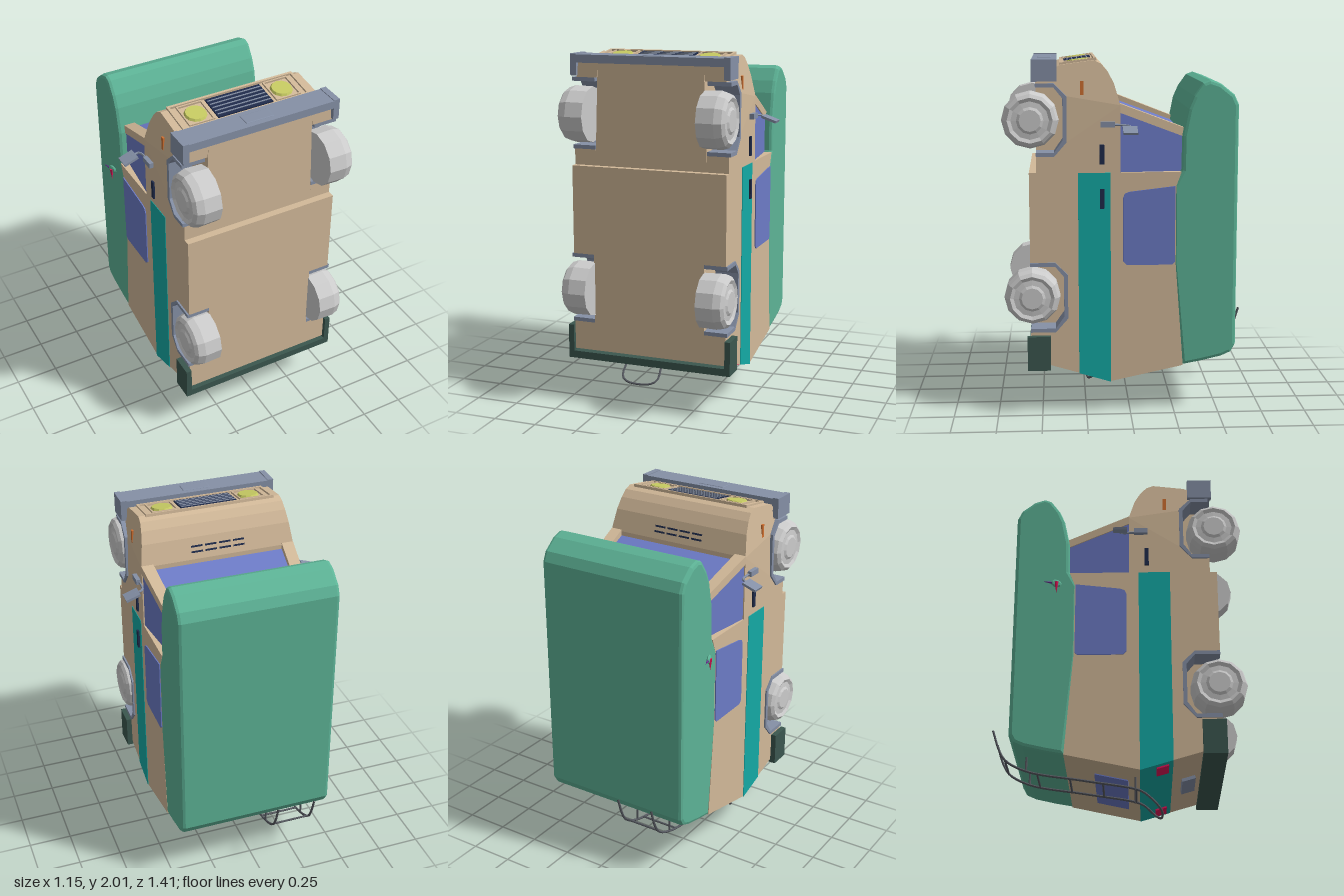
import * as THREE from 'three';
import { RoundedBoxGeometry } from 'three/addons/geometries/RoundedBoxGeometry.js';

const mat = (color) => new THREE.MeshStandardMaterial({ color, flatShading: true });
const M = {
  beige: mat(0xd2b999), green: mat(0x5db396), teal: mat(0x14aaa5), glass: mat(0x6c7bc6),
  steel: mat(0x8590a6), dark: mat(0x3b574f), navy: mat(0x1f2b4b), lamp: mat(0xc6ca62),
  tyre: mat(0xcccccc), red: mat(0xe01458), orange: mat(0xd07030), rail: mat(0x55585f), purple: mat(0x6a2a90),
};

// Side profile given as [z, y] points, extruded from x0 to x1
function slab(pts, x0, x1, bevel = 0) {
  const shape = new THREE.Shape(pts.map(([z, y]) => new THREE.Vector2(z, y)));
  const g = new THREE.ExtrudeGeometry(shape, {
    depth: x1 - x0 - 2 * bevel, bevelEnabled: bevel > 0, bevelSize: bevel,
    bevelThickness: bevel, bevelOffset: -bevel, bevelSegments: 2,
  });
  return g.rotateY(-Math.PI / 2).translate(x1 - bevel, 0, 0);
}

// Flat strip of thickness t along a profile segment
function strip([z0, y0], [z1, y1], t, x0, x1) {
  const l = Math.hypot(z1 - z0, y1 - y0);
  const nz = (-(y1 - y0) / l) * t / 2, ny = ((z1 - z0) / l) * t / 2;
  return slab([[z0 + nz, y0 + ny], [z1 + nz, y1 + ny], [z1 - nz, y1 - ny], [z0 - nz, y0 - ny]], x0, x1);
}

// Move x of every vertex by a rule
function warp(g, rule) {
  const p = g.attributes.position;
  for (let i = 0; i < p.count; i++) p.setX(i, p.getX(i) * rule(p.getY(i), p.getZ(i)));
  g.computeVertexNormals();
  return g;
}

const box = (w, h, d, x, y, z) => new THREE.BoxGeometry(w, h, d).translate(x, y, z);

// Angular wheel arch from the floor edge z, inset by t
const arch = (z, cy, t = 0) => [
  [z, cy + 0.2 - t], [0.42, cy + 0.2 - t], [0.35 + t, cy + 0.13 - t * 0.5],
  [0.35 + t, cy - 0.12 + t * 0.5], [0.42, cy - 0.2 + t], [z, cy - 0.2 + t],
];

export function createModel() {
  const root = new THREE.Group();
  const add = (name, geo, m, parent = root) => {
    const mesh = new THREE.Mesh(geo, m);
    mesh.name = name;
    parent.add(mesh);
    return mesh;
  };
  // Same slab on both sides of the vehicle
  const both = (name, pts, x0, x1, m, rule = () => 1) => {
    add(name + 'Left', warp(slab(pts, x0, x1), rule), m);
    add(name + 'Right', warp(slab(pts, -x1, -x0), rule), m);
  };
  const W = 0.455, IN = 0.33, AXLES = [1.67, 0.675];

  // Living compartment: solid core and side walls cut by the arches
  const rearEnd = [[0.56, 0.31], [0.45, 0.28], [0.11, 0.18], [-0.3, 0.268], [-0.255, 0.86], [-0.255, 1.3], [-0.285, 1.38]];
  add('compartmentCore', slab([[0.56, 1.38], ...rearEnd], -IN, IN), M.beige);
  both('compartmentWall', [[0.56, 1.38], ...arch(0.56, AXLES[1]), ...rearEnd], IN, W, M.beige);
  add('stripe', slab([[0.29, 1.379], [0.29, 0.231], [0.11, 0.177], [0.11, 1.379]], -W - 0.003, W + 0.003), M.teal);

  // Raised roof with the pod over the cab
  add('roof', slab([
    [-0.24, 1.3], [-0.24, 0.86], [-0.295, 0.268], [-0.4, 0.287], [-0.52, 0.315], [-0.575, 0.34], [-0.6, 0.385],
    [-0.6, 1.75], [-0.575, 1.805], [-0.5, 1.865], [-0.44, 1.885], [-0.4, 1.87], [-0.35, 1.8], [-0.32, 1.73],
    [-0.29, 1.58], [-0.287, 1.39],
  ], -W - 0.002, W + 0.002, 0.02), M.green);

  // Cab and bonnet, narrowing towards the nose
  const taper = (y) => 1 - 0.32 * Math.max(0, y - 1.75);
  const nose = [
    [0.055, 1.38], [0.055, 1.75], [0.09, 1.87], [0.125, 1.935], [0.16, 1.975], [0.2, 1.993], [0.38, 1.968],
    [0.42, 1.95], [0.52, 1.95],
  ];
  add('cabCore', warp(slab([...nose, [0.52, 1.38]], -IN, IN), taper), M.beige);
  both('cabSide', [...nose, ...arch(0.52, AXLES[0]), [0.52, 1.38]], IN - 0.002, W, M.beige, taper);

  // Glazed cab, windscreen pillars and header
  const lean = (y, z) => 1 - 0.25 * Math.max(0, 0.055 - z);
  add('cabGlass', warp(slab([[0.057, 1.38], [0.057, 1.725], [-0.3, 1.595], [-0.3, 1.38]], -0.448, 0.448), lean), M.glass);
  both('pillar', [[0.06, 1.76], [0.06, 1.71], [-0.3, 1.572], [-0.3, 1.622]], 0.385, W, M.beige, lean);
  for (const y of [1.79, 1.82]) for (let i = 0; i < 4; i++) {
    const x = -0.16 + i * 0.083, z = 0.055 + (y - 1.75) * 0.29;
    add('bonnetVent', strip([z, y - 0.005], [z + 0.003, y + 0.005], 0.006, x, x + 0.068), M.navy);
  }

  // Nose panel with grille and headlamps
  const face = new THREE.Group();
  face.name = 'nosePanel';
  face.position.set(0, 1.984, 0.285);
  face.rotation.x = -Math.PI / 2 + 0.14;
  root.add(face);
  const frame = (name, w, h, t, x) => {
    for (const s of [-1, 1]) {
      add(name, box(w, t, 0.016, x, s * (h - t) / 2, 0), M.beige, face);
      add(name, box(t, h, 0.016, x + s * (w - t) / 2, 0, 0), M.beige, face);
    }
  };
  frame('panelFrame', 0.76, 0.205, 0.014, 0);
  add('grille', box(0.33, 0.155, 0.01, 0, 0, 0), M.navy, face);
  for (let i = 0; i < 5; i++) add('grilleSlat', box(0.32, 0.006, 0.014, 0, -0.056 + i * 0.028, 0.002), M.steel, face);
  for (const s of [-1, 1]) {
    frame('lampFrame', 0.15, 0.16, 0.008, s * 0.26);
    add('headlamp', new THREE.CylinderGeometry(0.056, 0.065, 0.016, 12).rotateX(Math.PI / 2).translate(s * 0.26, 0, 0.002), M.lamp, face);
  }

  // Front bumper with wrapped ends and plate
  add('frontBumper', box(0.93, 0.045, 0.14, 0, 1.973, 0.472), M.steel);
  add('frontPlate', new RoundedBoxGeometry(0.165, 0.012, 0.078, 2, 0.005).translate(0, 1.993, 0.472), M.steel);
  // Rear bumper
  add('rearBumper', box(0.975, 0.042, 0.13, 0, 0.279, 0.515), M.dark);
  add('rearHandle', strip([0.42, 0.262], [0.345, 0.24], 0.02, -0.11, 0.11), M.steel);
  add('rearWindow', strip([0.045, 0.193], [-0.14, 0.233], 0.01, -0.25, 0.25), M.glass);

  for (const s of [-1, 1]) {
    const pair = (name, geo, m) => add(name, geo, m);
    pair('frontBumperEnd', box(0.035, 0.12, 0.14, s * 0.4475, 1.94, 0.472), M.steel);
    pair('rearBumperEnd', box(0.032, 0.197, 0.13, s * 0.472, 0.3565, 0.515), M.dark);
    const tx = s * 0.36;
    pair('tailLamp', strip([0.265, 0.222], [0.2, 0.203], 0.016, tx - 0.06, tx + 0.06), M.red);
    pair('sideMarker', box(0.012, 0.075, 0.02, s * 0.441, 1.845, 0.265), M.orange);
    pair('cabHandle', box(0.016, 0.11, 0.025, s * 0.457, 1.48, 0.157), M.navy);

    // Side mirror: base, bent arm, angled plate
    pair('mirrorBase', box(0.04, 0.03, 0.08, s * 0.46, 1.647, 0.125), M.steel);
    const arm = new THREE.CatmullRomCurve3([[0.46, 1.645, 0.1], [0.463, 1.64, 0.02], [0.475, 1.637, 0.005], [0.51, 1.627, 0.005]]
      .map(([x, y, z]) => new THREE.Vector3(s * x, y, z)));
    pair('mirrorArm', new THREE.TubeGeometry(arm, 10, 0.007, 6), M.steel);
    const plate = pair('mirror', new THREE.BoxGeometry(0.087, 0.014, 0.08), M.steel);
    plate.position.set(s * 0.53, 1.619, 0.005);
    plate.rotation.z = -s * 0.33;
  }
  add('doorHandle', box(0.018, 0.11, 0.025, 0.46, 1.235, 0.157), M.navy);

  // Side windows with rounded corners
  both('sideWindow', [[0.02, 0.857], [0.04, 0.877], [0.04, 1.24], [0.03, 1.262], [0.005, 1.272],
    [-0.25, 1.302], [-0.25, 0.872], [-0.235, 0.857]], 0.45, 0.461, M.glass);

  // Wheels and arch liners
  const profile = [[0, 0], [0.155, 0], [0.158, 0.1], [0.145, 0.14], [0.125, 0.155], [0.105, 0.145], [0.075, 0.148], [0.06, 0.157], [0, 0.157]]
    .map(([r, y]) => new THREE.Vector2(r, y));
  AXLES.forEach((cy, i) => {
    const z = i ? 0.56 : 0.52;
    both(i ? 'rearArch' : 'frontArch', [...arch(z, cy), ...arch(z, cy, 0.022).reverse()], IN, 0.465, M.steel);
    for (const s of [-1, 1]) {
      const wheel = add(i ? 'rearWheel' : 'frontWheel', new THREE.LatheGeometry(profile, 12), M.tyre);
      wheel.rotation.z = -s * Math.PI / 2;
      wheel.position.set(s * 0.326, cy, 0.55);
    }
  });

  // Ladder: one bent rail loop, rungs and struts
  const half = [[-0.7, 0.46], [-0.66, 0.34], [-0.62, 0.28], [-0.5, 0.22], [-0.2, 0.168], [0.08, 0.12], [0.13, 0.1], [0.2, 0.035]];
  const XL = [-0.32, -0.095];
  const rail = [...half.map(([z, y]) => new THREE.Vector3(XL[0], y, z)),
    new THREE.Vector3(-0.28, 0.012, 0.225), new THREE.Vector3(-0.135, 0.012, 0.225),
    ...half.slice().reverse().map(([z, y]) => new THREE.Vector3(XL[1], y, z))];
  add('ladderRail', new THREE.TubeGeometry(new THREE.CatmullRomCurve3(rail), 90, 0.007, 6), M.rail);
  for (const [z, y] of [[-0.63, 0.292], [-0.45, 0.211], [-0.27, 0.18], [-0.09, 0.149], [0.09, 0.117]])
    add('ladderRung', new THREE.CylinderGeometry(0.006, 0.006, 0.225, 6).rotateZ(Math.PI / 2).translate(-0.2075, y, z), M.rail);
  for (const x of XL) for (const [z, y] of [[0.085, 0.152], [-0.51, 0.265]])
    add('ladderStrut', new THREE.CylinderGeometry(0.006, 0.006, 0.08, 6).translate(x, y, z), M.rail);

  // Small bird ornament on the right side of the roof
  const bird = new THREE.Group();
  bird.name = 'birdOrnament';
  bird.position.set(-0.478, 1.3, -0.36);
  bird.rotation.set(0, 0.3, 0);
  add('birdBody', new THREE.SphereGeometry(0.016, 8, 6).scale(0.7, 1.5, 2), M.green, bird);
  add('birdWing', new THREE.ConeGeometry(0.012, 0.07, 5).rotateX(Math.PI).translate(-0.008, -0.03, 0), M.red, bird);
  add('birdTail', new THREE.ConeGeometry(0.008, 0.06, 5).rotateX(-Math.PI / 2).translate(0, 0, -0.045), M.purple, bird);
  root.add(bird);
  return root;
}
